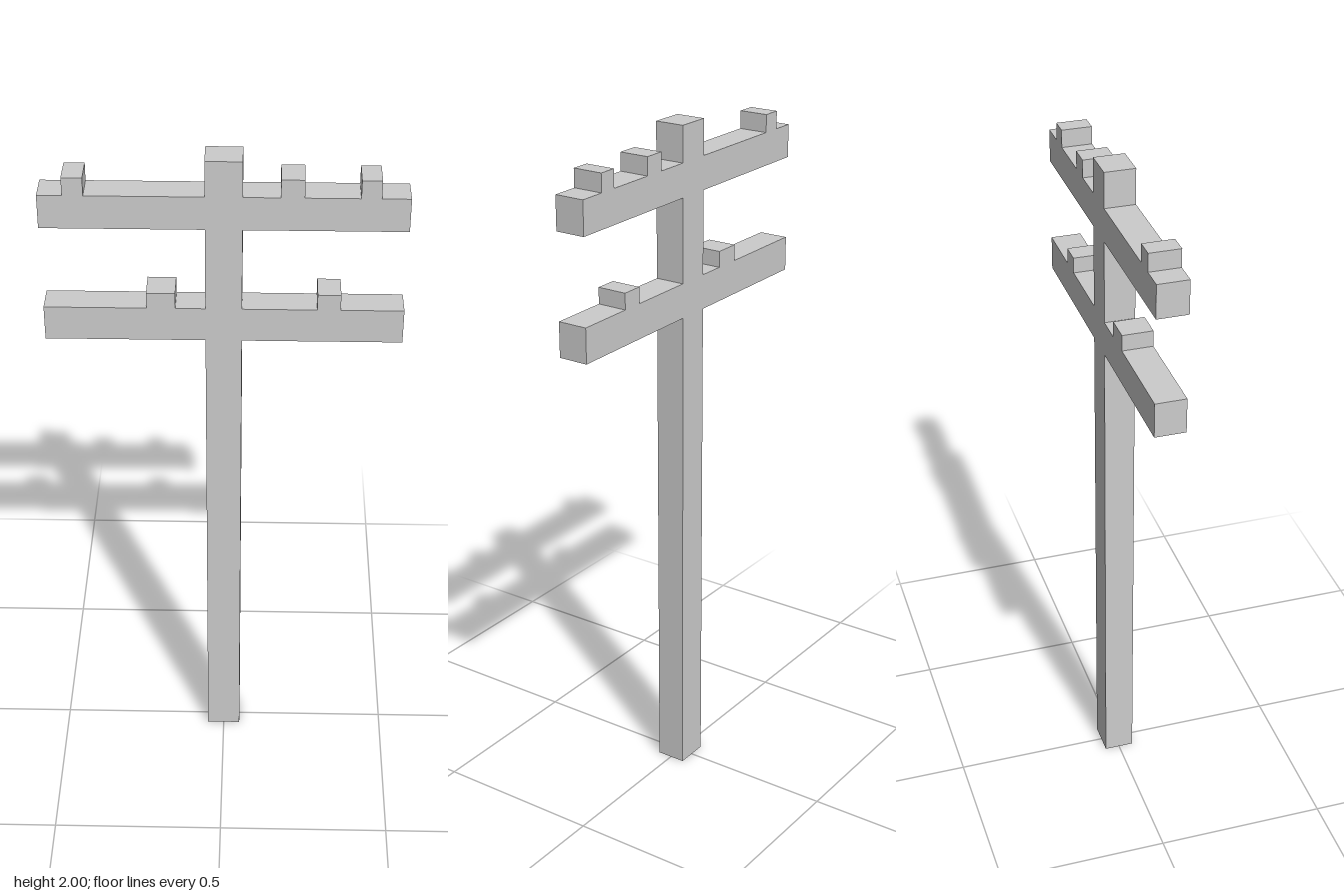
import * as THREE from 'three';

const DEPTH = 0.088;
const HEIGHT = 2;
const POLE_HALF = 0.05;
const ARM_HALF = 0.492;

// Each crossarm: bottom, top, top of its pegs, and the x-range of every peg
const CROSSARMS = [
  { name: 'upper', y0: 1.8, y1: 1.897, pegTop: 1.949, pegs: [[-0.425, -0.369], [0.15, 0.213], [0.36, 0.414]] },
  { name: 'lower', y0: 1.455, y1: 1.556, pegTop: 1.603, pegs: [[-0.211, -0.132], [0.255, 0.319]] },
];

export function createModel() {
  const model = new THREE.Group();
  model.name = 'utilityPole';
  const material = new THREE.MeshStandardMaterial({ color: 0xcccccc, flatShading: true });

  // Full-depth block spanning x0..x1 and y0..y1
  const addBlock = (parent, name, x0, x1, y0, y1) => {
    const mesh = new THREE.Mesh(new THREE.BoxGeometry(x1 - x0, y1 - y0, DEPTH), material);
    mesh.position.set((x0 + x1) / 2, (y0 + y1) / 2, 0);
    mesh.name = name;
    parent.add(mesh);
  };

  // Upright post
  addBlock(model, 'post', -POLE_HALF, POLE_HALF, 0, HEIGHT);

  // Crossarms: two halves butting flush against the post, with insulator pegs on top
  for (const { name, y0, y1, pegTop, pegs } of CROSSARMS) {
    const arm = new THREE.Group();
    arm.name = `${name}Crossarm`;
    addBlock(arm, `${name}ArmRight`, -ARM_HALF, -POLE_HALF, y0, y1);
    addBlock(arm, `${name}ArmLeft`, POLE_HALF, ARM_HALF, y0, y1);
    pegs.forEach(([x0, x1], i) => addBlock(arm, `${name}Insulator${i + 1}`, x0, x1, y1, pegTop));
    model.add(arm);
  }

  return model;
}
